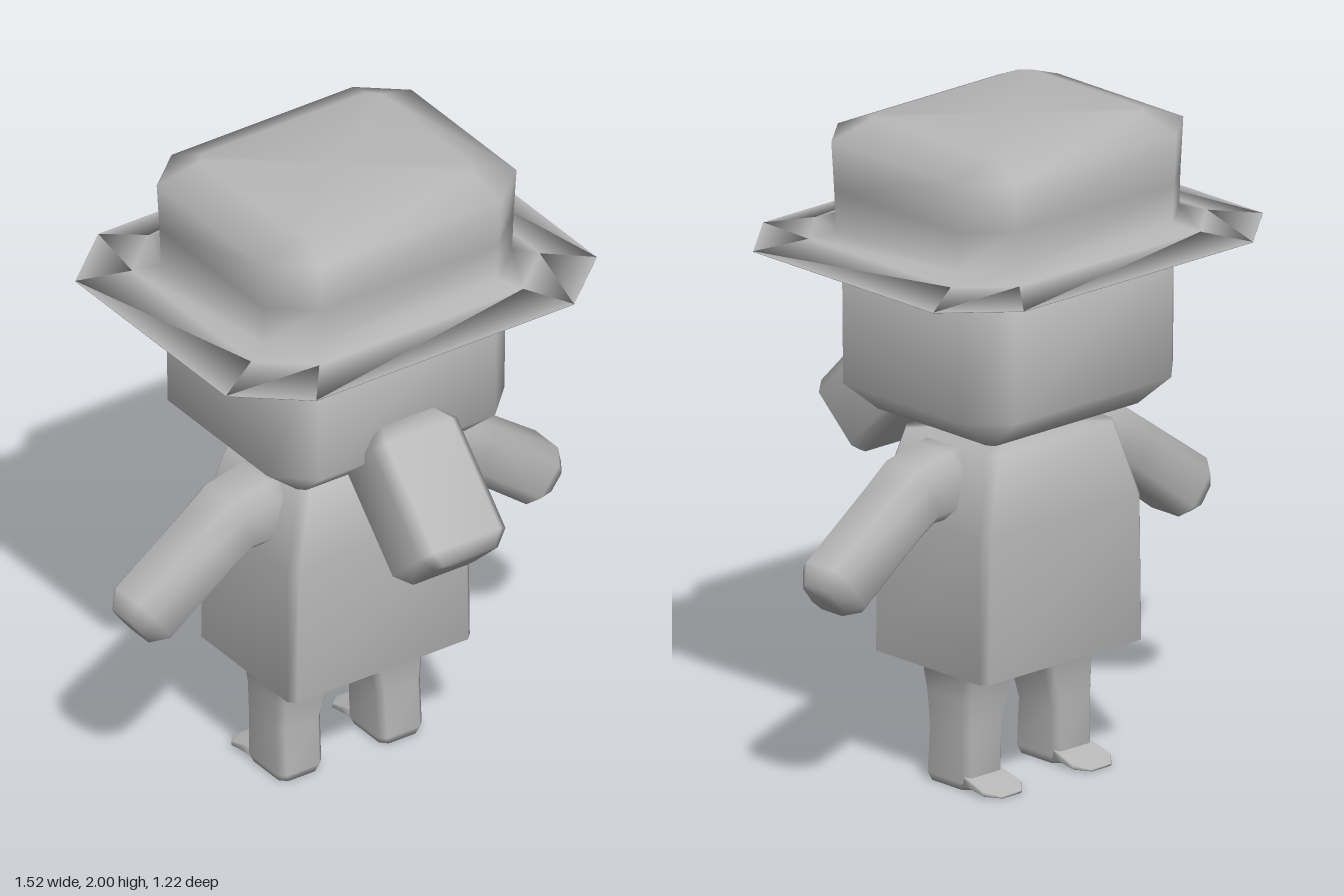
import * as THREE from 'three';

const clay = new THREE.MeshStandardMaterial({ color: 0xb8b8b8 });
clay.name = 'clay grey';

const X = new THREE.Vector3(1, 0, 0);
const Y = new THREE.Vector3(0, 1, 0);
const Z = new THREE.Vector3(0, 0, 1);

// Rectangle with cut corners around p, facing along w; hv is measured along v, hu across it
function ring(p, w, v, hv, hu, cv, cu = cv) {
  const u = new THREE.Vector3().crossVectors(v, w).normalize();
  const corners = [
    [hu, -hv + cv], [hu, hv - cv], [hu - cu, hv], [-hu + cu, hv],
    [-hu, hv - cv], [-hu, -hv + cv], [-hu + cu, -hv], [hu - cu, -hv],
  ];
  return corners.map(([a, b]) => p.clone().addScaledVector(u, a).addScaledVector(v, b));
}

// Horizontal ring at height y with half width hx and depth range z0..z1
function level(y, hx, z0, z1, cx, cz = cx, x = 0) {
  return ring(new THREE.Vector3(x, y, (z0 + z1) / 2), Y, X, hx, (z1 - z0) / 2, cx, cz);
}

// Closed, smooth skin over a list of rings
function loft(name, rings) {
  const n = 8, points = rings.flat(), index = [];
  for (let r = 0; r < rings.length - 1; r++) {
    for (let i = 0; i < n; i++) {
      const a = r * n + i, b = r * n + (i + 1) % n;
      index.push(a, b, b + n, a, b + n, a + n);
    }
  }
  const addCap = (start, flip) => {
    const c = points.length;
    const centre = new THREE.Vector3();
    for (let i = 0; i < n; i++) centre.addScaledVector(points[start + i], 1 / n);
    points.push(centre);
    for (let i = 0; i < n; i++) {
      const a = start + i, b = start + (i + 1) % n;
      index.push(c, flip ? b : a, flip ? a : b);
    }
  };
  addCap(0, true);
  addCap((rings.length - 1) * n, false);
  const g = new THREE.BufferGeometry().setFromPoints(points);
  g.setIndex(index);
  g.computeVertexNormals();
  const mesh = new THREE.Mesh(g, clay);
  mesh.name = name;
  return mesh;
}

export function createModel() {
  const model = new THREE.Group();
  model.name = 'figure';

  // Hat: flat brim underside, then brim top sweeping up into the crown
  model.add(loft('hatBrimUnderside', [
    level(1.634, 0.655, -0.61, 0.49, 0.2, 0.17),
    level(1.636, 0.655, -0.61, 0.49, 0.2, 0.17),
  ]));
  model.add(loft('hat', [
    level(1.636, 0.655, -0.61, 0.49, 0.2, 0.17),
    level(1.66, 0.51, -0.49, 0.37, 0.15, 0.13),
    level(1.68, 0.44, -0.425, 0.31, 0.13, 0.11),
    level(1.8, 0.443, -0.428, 0.313, 0.13, 0.11),
    level(1.95, 0.45, -0.432, 0.318, 0.13, 0.11),
    level(2.0, 0.32, -0.32, 0.205, 0.03),
  ]));

  // Head
  model.add(loft('head', [
    level(1.11, 0.3, -0.31, 0.19, 0.02),
    level(1.21, 0.42, -0.42, 0.3, 0.11),
    level(1.65, 0.425, -0.42, 0.3, 0.11),
  ]));

  // Long nose, tilted down and forward
  const noseAxis = new THREE.Vector3(0, -0.73, 0.68).normalize();
  const noseRing = (y, z, hx, h, c) => ring(new THREE.Vector3(0, y, z), noseAxis, X, hx, h, c);
  model.add(loft('nose', [
    noseRing(1.247, 0.227, 0.11, 0.1, 0.02),
    noseRing(1.213, 0.267, 0.152, 0.127, 0.035),
    noseRing(0.962, 0.51, 0.152, 0.127, 0.035),
    noseRing(0.93, 0.54, 0.11, 0.1, 0.02),
  ]));

  // Torso
  model.add(loft('torso', [
    level(0.36, 0.26, -0.25, 0.12, 0.02),
    level(0.38, 0.322, -0.3, 0.175, 0.02),
    level(0.82, 0.32, -0.3, 0.175, 0.025),
    level(1.055, 0.25, -0.26, 0.13, 0.025),
  ]));

  for (const side of [1, -1]) {
    const label = side > 0 ? 'left' : 'right';

    // Arm: x, y, direction of travel, half depth, half thickness, corner cut
    const arm = [
      [0.2, 0.95, 1, 0, 0.11, 0.105, 0.04],
      [0.28, 0.945, 1, -0.1, 0.108, 0.1, 0.04],
      [0.385, 0.93, 0.95, -0.35, 0.105, 0.093, 0.04],
      [0.46, 0.877, 0.81, -0.59, 0.1, 0.09, 0.04],
      [0.685, 0.71, 0.81, -0.59, 0.097, 0.095, 0.04],
      [0.728, 0.679, 0.81, -0.59, 0.068, 0.056, 0.025],
    ];
    model.add(loft(label + 'Arm', arm.map(([x, y, dx, dy, hz, h, c]) => ring(
      new THREE.Vector3(side * x, y, -0.055),
      new THREE.Vector3(side * dx, dy, 0).normalize(), Z, hz, h, c))));

    // Leg: flares inwards where it meets the torso
    const leg = [
      [0.005, 0.11, 0.245, -0.145, 0.02],
      [0.03, 0.1, 0.255, -0.155, 0.028],
      [0.18, 0.098, 0.255, -0.155, 0.018],
      [0.28, 0.075, 0.257, -0.158, 0.027],
      [0.35, 0.05, 0.262, -0.17, 0.038],
      [0.38, 0.03, 0.28, -0.18, 0.05],
    ];
    model.add(loft(label + 'Leg', leg.map(([y, x0, x1, z0, z1]) =>
      level(y, (x1 - x0) / 2, z0, z1, 0.02, 0.02, side * (x0 + x1) / 2))));

    // Thin flap trailing behind the foot
    const flap = [
      [0.035, -0.12, 0.072, 0.018],
      [0.03, -0.17, 0.076, 0.011],
      [0.017, -0.225, 0.076, 0.007],
      [0.01, -0.265, 0.04, 0.004],
    ];
    model.add(loft(label + 'FootFlap', flap.map(([y, z, hx, h]) => ring(
      new THREE.Vector3(side * 0.178, y, z), new THREE.Vector3(0, 0, -1), X, hx, h, 0.003))));
  }

  // Rest the lowest point on the ground
  model.position.y = -new THREE.Box3().setFromObject(model).min.y;
  return model;
}
